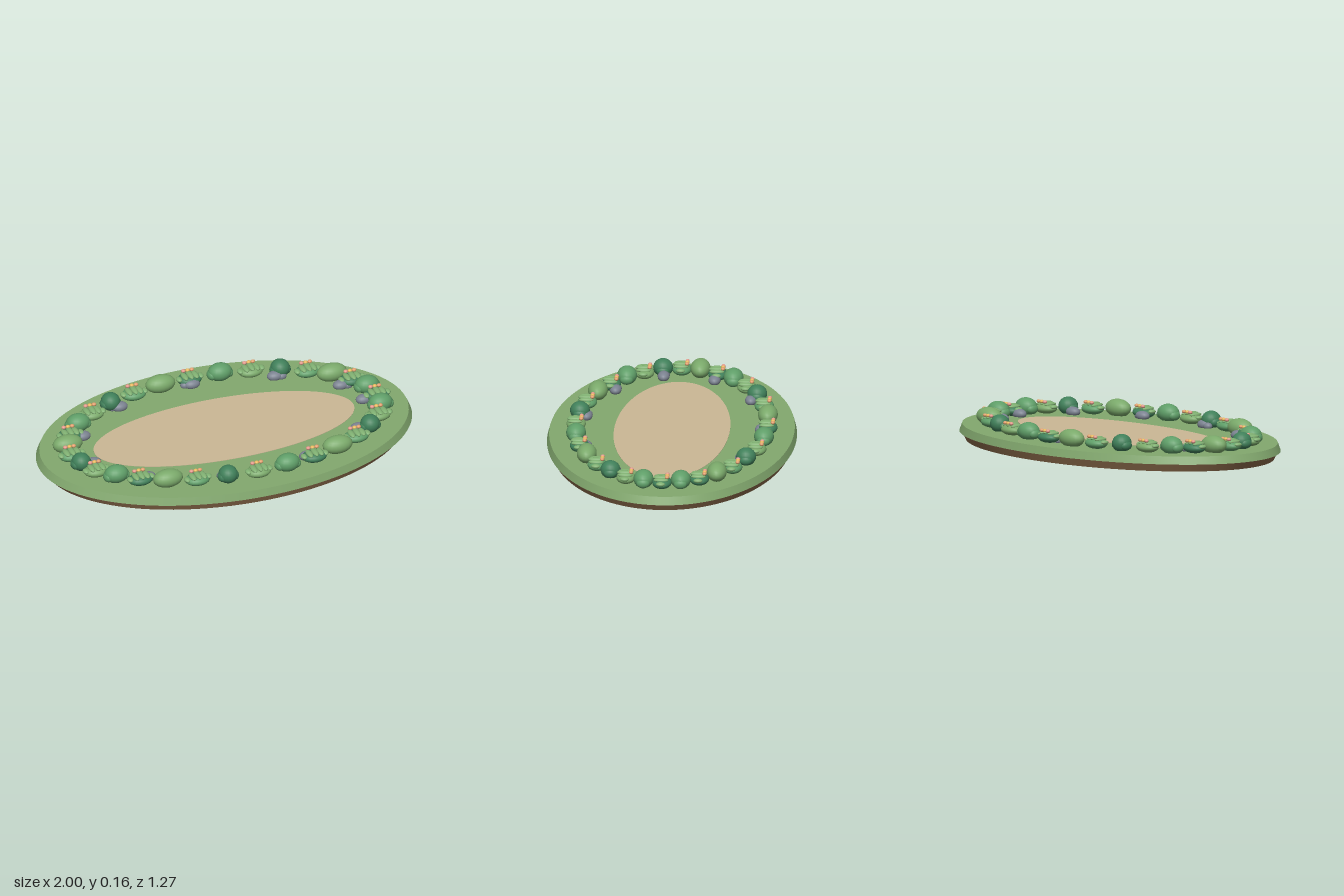
import * as THREE from 'three';

const mat = (color) => new THREE.MeshStandardMaterial({ color });
const MATS = {
  soil: mat(0x8a6a4a), grass: mat(0x82a86e), sand: mat(0xcbb795),
  bushes: [mat(0x40805a), mat(0x5f9e68), mat(0x7aa96a)],
  leaf: mat(0x80b072), rock: mat(0x7b8290),
  petals: [mat(0xe39a8c), mat(0xe8b860), mat(0xe0a070)],
};
const DEPTH = 0.637; // depth of the oval relative to its width
const GROUND = 0.08;
const COUNT = 32;
const ball = new THREE.SphereGeometry(1, 20, 14);

// Ellipsoid with radii [rx, ry, rz] at [x, y, z]
function blob(name, material, pos, radii) {
  const m = new THREE.Mesh(ball, material);
  m.name = name;
  m.position.set(...pos);
  m.scale.set(...radii);
  return m;
}

// Oval slab with sloping sides
function slab(name, material, rTop, rBottom, y0, y1) {
  const m = new THREE.Mesh(new THREE.CylinderGeometry(rTop, rBottom, y1 - y0, 96), material);
  m.name = name;
  m.position.y = (y0 + y1) / 2;
  m.scale.z = DEPTH;
  return m;
}

// Rounded shrub; the darkest kind is narrow, the lightest is wide
function shrub(kind) {
  const g = new THREE.Group();
  g.name = 'shrub';
  const rx = [0.05, 0.064, 0.08][kind];
  g.add(blob('shrubCrown', MATS.bushes[kind], [0, 0.037, 0], [rx, 0.047, 0.051]));
  if (kind < 2) {
    for (const s of [-1, 1]) {
      g.add(blob('shrubLobe', MATS.bushes[kind], [s * (rx - 0.018), 0.028, 0], [0.024, 0.026, 0.034]));
    }
  }
  return g;
}

// Low plant with a fan of leaves and three blossoms
function flowerPlant(kind) {
  const g = new THREE.Group();
  g.name = 'flowerPlant';
  g.add(blob('plantBase', MATS.bushes[kind], [0, 0.025, 0], [0.066, 0.028, 0.05]));
  for (let k = -2; k <= 2; k++) {
    const a = Math.abs(k);
    g.add(blob('leaf', MATS.leaf, [k * 0.029, 0.051 - a * a * 0.004, 0.004],
      [0.016, 0.011, 0.043 - a * a * 0.005]));
  }
  for (let k = -1; k <= 1; k++) {
    g.add(blob('blossom', MATS.petals[k + 1], [k * 0.023, 0.061, -0.027], [0.012, 0.009, 0.011]));
  }
  return g;
}

// Large stone with a smaller one beside it
function stones() {
  const g = new THREE.Group();
  g.name = 'stones';
  g.add(blob('largeStone', MATS.rock, [0, 0.014, 0], [0.043, 0.026, 0.031]));
  g.add(blob('smallStone', MATS.rock, [0.033, 0.01, 0.008], [0.027, 0.02, 0.022]));
  return g;
}

export function createModel() {
  const model = new THREE.Group();
  model.name = 'ovalGarden';

  // Ground layers
  model.add(slab('soilBase', MATS.soil, 0.985, 0.96, 0, 0.04));
  model.add(slab('grassLayer', MATS.grass, 0.982, 1, 0.04, GROUND));
  const sand = new THREE.Mesh(new THREE.CylinderGeometry(1, 1, 0.004, 80), MATS.sand);
  sand.name = 'sandCentre';
  sand.position.y = GROUND;
  sand.scale.set(0.705, 1, 0.296);
  model.add(sand);

  // Ring of alternating flower plants and shrubs, with stones inside every third
  for (let i = 0; i < COUNT; i++) {
    const a = (i / COUNT) * Math.PI * 2;
    const c = Math.cos(a), s = Math.sin(a);
    const plant = i % 2 ? shrub(i % 3) : flowerPlant(i % 3);
    plant.position.set(0.835 * c, GROUND, 0.49 * s);
    model.add(plant);
    if (i % 3 === 0) {
      const rocks = stones();
      rocks.position.set(0.765 * c, GROUND, 0.455 * s);
      if (c < 0) rocks.rotation.y = Math.PI;
      model.add(rocks);
    }
  }
  return model;
}
